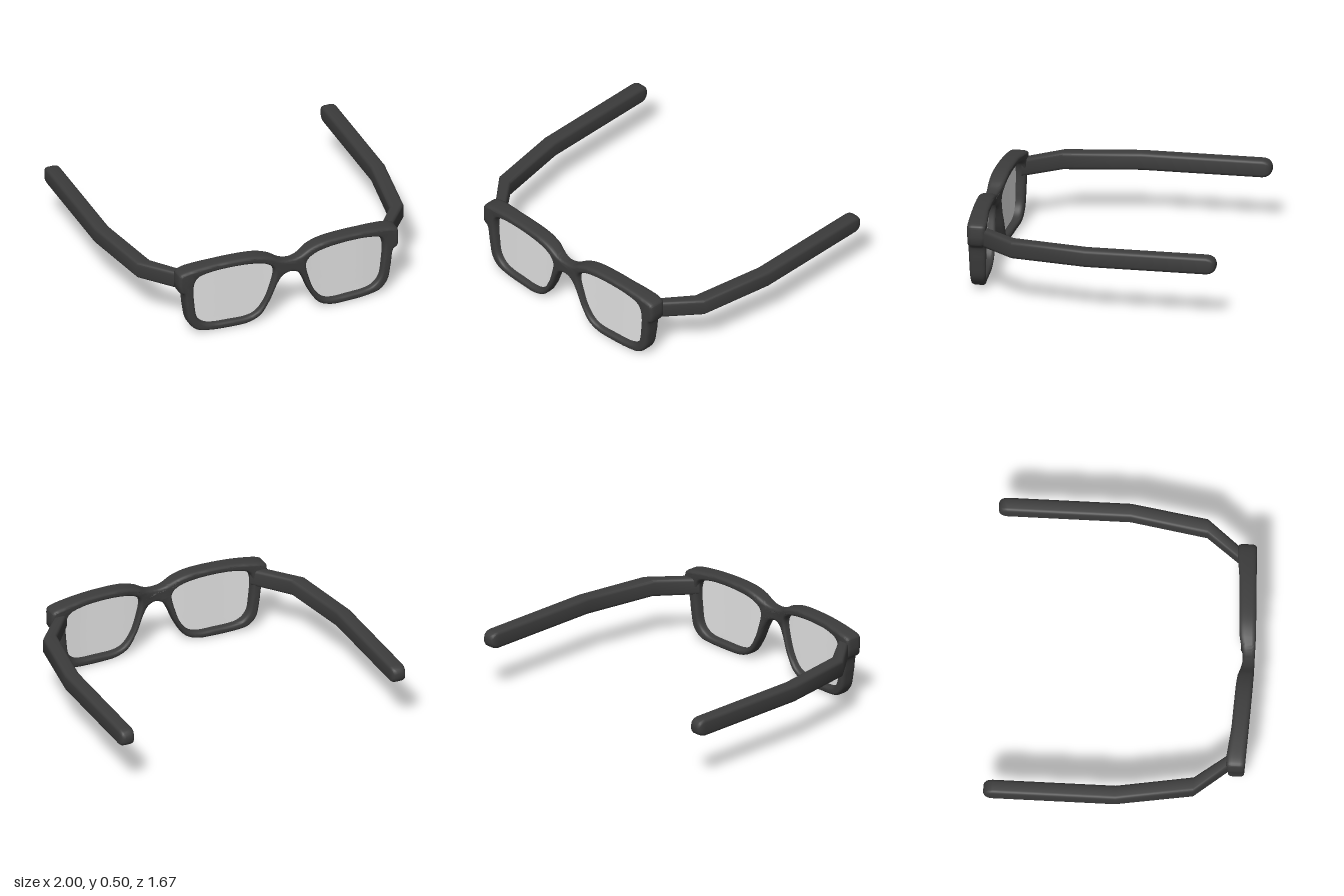
import * as THREE from 'three';
import { toCreasedNormals } from 'three/addons/utils/BufferGeometryUtils.js';

const frameMat = new THREE.MeshStandardMaterial({ color: 0x3c3c3c });
frameMat.name = 'charcoal plastic';
const lensMat = new THREE.MeshStandardMaterial({ color: 0xe4e4e4, side: THREE.DoubleSide });
lensMat.name = 'pale grey lens';

// Smooth 2D curve through [x, y] points
function smooth(pts, closed, n) {
  const curve = new THREE.CatmullRomCurve3(pts.map(([x, y]) => new THREE.Vector3(x, y, 0)), closed);
  const out = curve.getPoints(n).map((p) => new THREE.Vector2(p.x, p.y));
  if (closed) out.pop();
  return out;
}
const mirror = (pts) => pts.map(([x, y]) => [-x, y]).reverse();

// Splits long edges so that flat faces can follow the bend
function subdivide(geo, maxEdge) {
  const src = geo.index ? geo.toNonIndexed() : geo;
  const p = src.attributes.position, out = [];
  const split = (a, b, c) => {
    const ab = a.distanceTo(b), bc = b.distanceTo(c), ca = c.distanceTo(a);
    const longest = Math.max(ab, bc, ca);
    if (longest <= maxEdge) out.push(...a.toArray(), ...b.toArray(), ...c.toArray());
    else if (longest === bc) split(b, c, a);
    else if (longest === ca) split(c, a, b);
    else {
      const m = a.clone().add(b).multiplyScalar(0.5);
      split(a, m, c);
      split(m, b, c);
    }
  };
  const v = (i) => new THREE.Vector3().fromBufferAttribute(p, i);
  for (let i = 0; i < p.count; i += 3) split(v(i), v(i + 1), v(i + 2));
  const result = new THREE.BufferGeometry();
  result.setAttribute('position', new THREE.Float32BufferAttribute(out, 3));
  return result;
}

// Front and back surfaces of the bowed, slightly tapered front
const backProfile = [[0, 0.757], [0.05, 0.75], [0.13, 0.73], [0.2, 0.724], [0.5, 0.711], [0.68, 0.689], [1, 0.689]];
function frontZ(x, y) {
  return 0.836 - 0.027 * Math.max(0, Math.abs(x) - 0.12) / 0.64 - 0.03 * (0.5 - y);
}
function backZ(x, y) {
  const a = Math.abs(x);
  const i = backProfile.findIndex((p) => p[0] > a);
  const [x0, z0] = backProfile[i - 1], [x1, z1] = backProfile[i];
  return z0 + (z1 - z0) * (a - x0) / (x1 - x0) + 0.025 * (0.5 - y);
}
function bend(geo, tOf) {
  const fine = subdivide(geo, 0.055), p = fine.attributes.position;
  for (let i = 0; i < p.count; i++) {
    const x = p.getX(i), y = p.getY(i);
    p.setZ(i, THREE.MathUtils.lerp(backZ(x, y), frontZ(x, y), tOf(p.getZ(i))));
  }
  return toCreasedNormals(fine, 0.7);
}

// Half outlines, mirrored for the other side
const topHalf = [[0.06, 0.43], [0.13, 0.468], [0.22, 0.494], [0.4, 0.503], [0.6, 0.492], [0.728, 0.47], [0.75, 0.455], [0.755, 0.43]];
const sideHalf = [[0.755, 0.345], [0.745, 0.328], [0.722, 0.312], [0.705, 0.2], [0.682, 0.09], [0.63, 0.032],
  [0.55, 0.012], [0.4, 0.005], [0.28, 0.012], [0.2, 0.05], [0.14, 0.14], [0.085, 0.265], [0.05, 0.315]];
const opening = [[0.11, 0.355], [0.125, 0.395], [0.17, 0.425], [0.25, 0.444], [0.4, 0.453], [0.55, 0.443], [0.625, 0.42],
  [0.65, 0.37], [0.645, 0.22], [0.625, 0.12], [0.57, 0.068], [0.4, 0.053], [0.28, 0.056], [0.225, 0.08], [0.17, 0.15], [0.135, 0.24]];

function makeFrame() {
  const top = smooth([...mirror(topHalf), [0, 0.42], ...topHalf], false, 110);
  const bottom = smooth([...sideHalf, [0, 0.332], ...mirror(sideHalf)], false, 170);
  const shape = new THREE.Shape([...top, ...bottom]);
  // The holes wind against the clockwise outline
  for (const o of [opening, mirror(opening)]) shape.holes.push(new THREE.Path(smooth(o, true, 90).reverse()));
  const T = 0.03, D = 0.05;
  const geo = new THREE.ExtrudeGeometry(shape, {
    depth: D, bevelEnabled: true, bevelThickness: T, bevelSize: 0.018, bevelOffset: -0.018, bevelSegments: 4,
  });
  const mesh = new THREE.Mesh(bend(geo, (z) => (z + T) / (D + 2 * T)), frameMat);
  mesh.name = 'frontFrame';
  return mesh;
}

function makeLens(points, name) {
  const geo = new THREE.ShapeGeometry(new THREE.Shape(smooth(points, true, 90)));
  const mesh = new THREE.Mesh(bend(geo, () => 0.55), lensMat);
  mesh.name = name;
  return mesh;
}

// Temple arm lofted through rounded rectangles: [z, inner x, outer x, half height]
const stations = [
  [0.72, 0.642, 0.73, 0.057], [0.49, 0.82, 0.92, 0.057], [0, 0.902, 0.999, 0.057], [-0.78, 0.902, 0.999, 0.057],
  [-0.803, 0.903, 0.998, 0.052], [-0.82, 0.907, 0.994, 0.043], [-0.831, 0.914, 0.987, 0.032], [-0.837, 0.925, 0.976, 0.018],
];
function makeTemple(side, name) {
  const pos = [], idx = [], n = 16;
  const face = (a, b, c) => (side > 0 ? idx.push(a, b, c) : idx.push(a, c, b));
  for (const [z, inner, outer, h] of stations) {
    const w = (outer - inner) / 2, r = Math.min(0.022, h * 0.9);
    for (let k = 0; k < n; k++) {
      const corner = Math.floor(k / 4);
      const a = (corner + (k % 4) / 3) * Math.PI / 2;
      const sx = corner === 0 || corner === 3 ? 1 : -1, sy = corner < 2 ? 1 : -1;
      const x = (inner + outer) / 2 + sx * (w - r) + r * Math.cos(a);
      pos.push(side * x, 0.375 + sy * (h - r) + r * Math.sin(a), z);
    }
  }
  for (let i = 0; i < stations.length - 1; i++) {
    for (let j = 0; j < n; j++) {
      const a = i * n + j, b = i * n + (j + 1) % n;
      face(a, a + n, b);
      face(b, a + n, b + n);
    }
  }
  // End caps
  const last = (stations.length - 1) * n;
  for (let j = 1; j < n - 1; j++) {
    face(0, j, j + 1);
    face(last, last + j + 1, last + j);
  }
  const geo = new THREE.BufferGeometry();
  geo.setAttribute('position', new THREE.Float32BufferAttribute(pos, 3));
  geo.setIndex(idx);
  const mesh = new THREE.Mesh(toCreasedNormals(geo, 0.6), frameMat);
  mesh.name = name;
  return mesh;
}

export function createModel() {
  const group = new THREE.Group();
  group.name = 'glasses';
  group.add(
    makeFrame(),
    makeLens(opening, 'leftLens'),
    makeLens(mirror(opening), 'rightLens'),
    makeTemple(1, 'leftTemple'),
    makeTemple(-1, 'rightTemple'),
  );
  return group;
}
